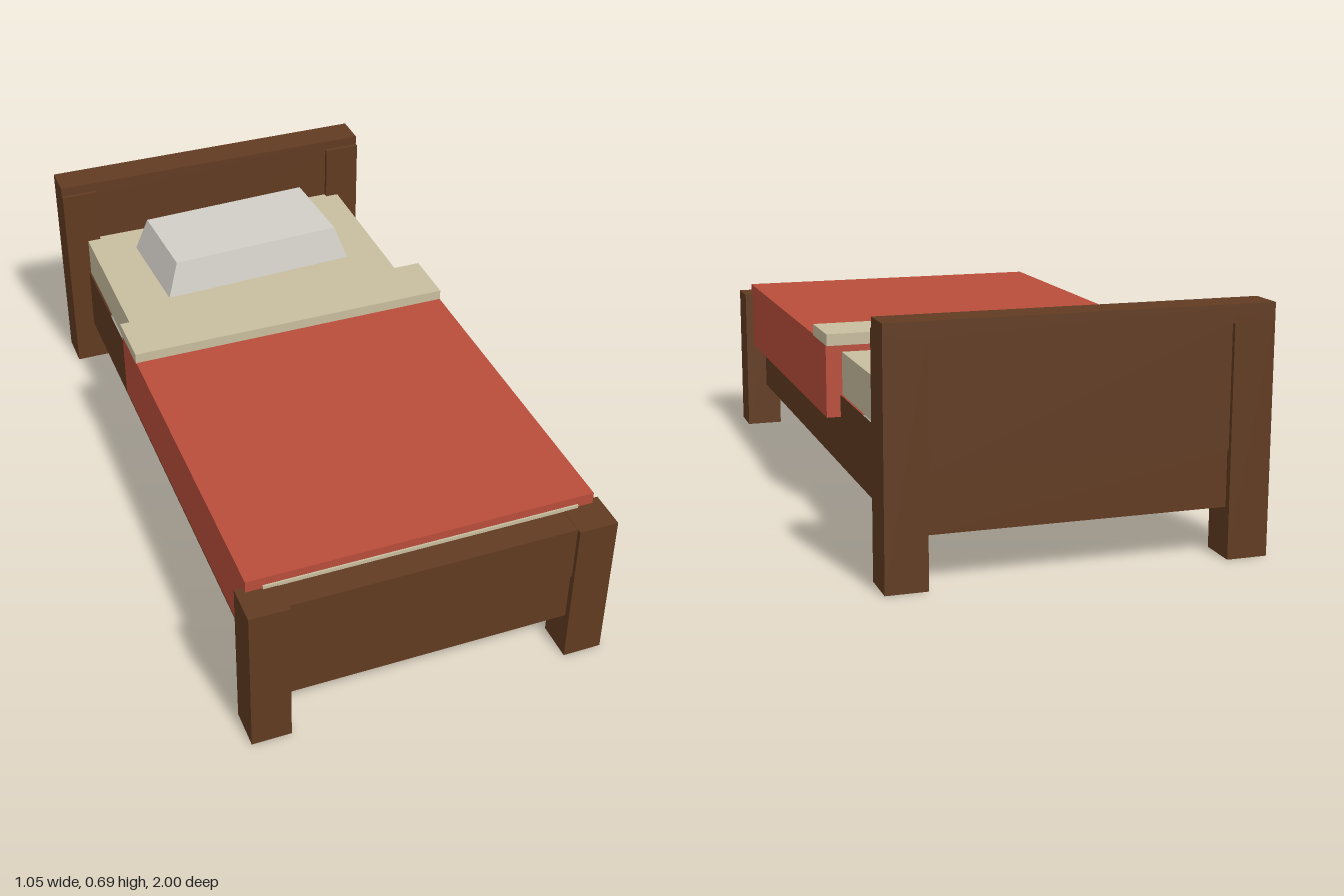
import * as THREE from 'three';

const material = (name, color) =>
  new THREE.MeshStandardMaterial({ name, color, side: THREE.DoubleSide });

// Box from min/max limits; an open box has no underside
function boxGeometry([x0, x1], [y0, y1], [z0, z1], open) {
  const g = new THREE.BoxGeometry(x1 - x0, y1 - y0, z1 - z0);
  if (open) {
    const index = Array.from(g.index.array);
    index.splice(18, 6);
    g.setIndex(index);
    g.clearGroups();
  }
  return g.translate((x0 + x1) / 2, (y0 + y1) / 2, (z0 + z1) / 2);
}

export function createModel() {
  const wood = material('brown wood', 0x613b21);
  const red = material('red blanket', 0xb94e3b);
  const linen = material('cream linen', 0xc8bd9f);
  const white = material('pale pillow', 0xd2cec7);

  const bed = new THREE.Group();
  bed.name = 'bed';
  const add = (name, geometry, mat, parent = bed) => {
    const mesh = new THREE.Mesh(geometry, mat);
    mesh.name = name;
    parent.add(mesh);
    return mesh;
  };

  // Head and foot ends: two hollow posts, a main panel and a thinner apron
  for (const [end, s, postTop, panelTop] of [
    ['footboard', 1, 0.465, 0.464],
    ['headboard', -1, 0.655, 0.64],
  ]) {
    const group = new THREE.Group();
    group.name = end;
    bed.add(group);
    const span = (a, b) => (s > 0 ? [a, b] : [-b, -a]);
    add(end + 'LeftPost', boxGeometry([0.411, 0.525], [0, postTop], span(0.885, 1), true), wood, group);
    add(end + 'RightPost', boxGeometry([-0.525, -0.411], [0, postTop], span(0.885, 1), true), wood, group);
    add(end + 'Panel', boxGeometry([-0.42, 0.42], [0.295, panelTop], span(0.9, 0.987)), wood, group);
    add(end + 'Apron', boxGeometry([-0.42, 0.42], [0.14, 0.295], span(0.91, 0.98)), wood, group);
  }
  add('headboardCap', boxGeometry([-0.525, 0.525], [0.635, 0.685], [-1, -0.897]), wood);

  // Thin side rails
  for (const [name, x] of [['leftRail', 0.459], ['rightRail', -0.459]]) {
    const rail = new THREE.PlaneGeometry(1.79, 0.21);
    rail.rotateY(Math.sign(x) * Math.PI / 2).translate(x, 0.245, 0);
    add(name, rail, wood);
  }

  // Bedding shells, open underneath
  add('mattress', boxGeometry([-0.453, 0.453], [0.35, 0.475], [-0.91, 0.908], true), linen);
  add('blanket', boxGeometry([-0.5, 0.5], [0.285, 0.5], [-0.27, 0.903], true), red);
  add('foldedSheet', boxGeometry([-0.501, 0.501], [0.497, 0.531], [-0.286, -0.112]), linen);

  // Pillow: tapered open box, turned slightly
  const pillow = boxGeometry([-0.315, 0.315], [0, 0.115], [-0.168, 0.168], true);
  const p = pillow.attributes.position;
  for (let i = 0; i < p.count; i++) {
    if (p.getY(i) > 0.05) {
      p.setX(i, p.getX(i) * 0.875);
      p.setZ(i, p.getZ(i) * 0.865);
    }
  }
  pillow.computeVertexNormals();
  const pillowMesh = add('pillow', pillow, white);
  pillowMesh.position.set(0.01, 0.471, -0.637);
  pillowMesh.rotation.y = 0.05;

  return bed;
}
